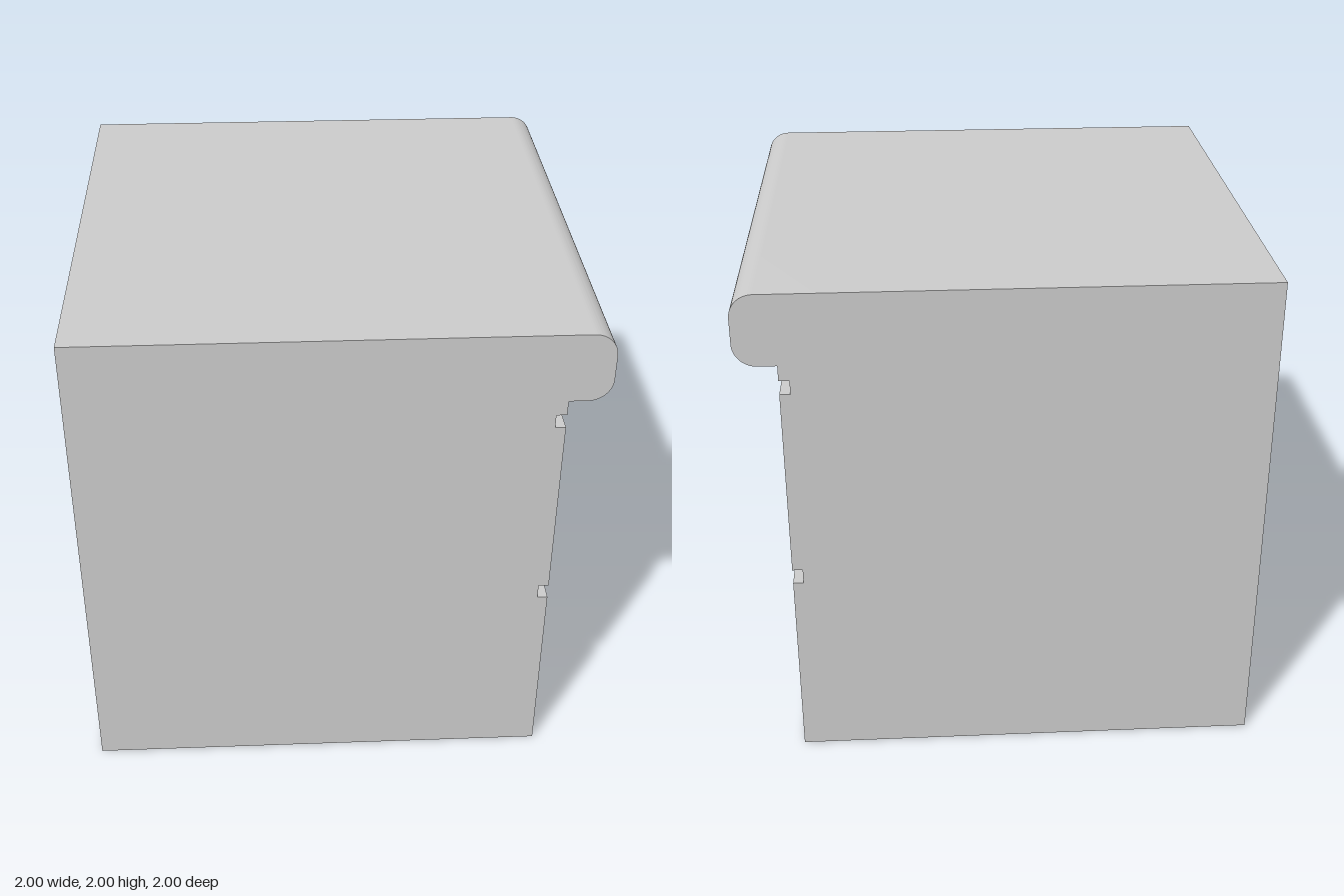
import * as THREE from 'three';
import { toCreasedNormals } from 'three/addons/utils/BufferGeometryUtils.js';

const DEPTH = 2, BACK = -1, FACE = 0.84, GROOVE = 0.8;
const NOSE = 1, NOSE_BOTTOM = 1.72, TOP = 2, RADIUS = 0.09;
const GROOVES = [[0.785, 0.845], [1.605, 1.66]]; // bottom and top of each groove

export function createModel() {
  const group = new THREE.Group();
  group.name = 'grooveFacedBlock';

  // side profile: block, two grooves in the +x face, rounded overhanging nose
  const profile = new THREE.Shape();
  profile.moveTo(BACK, 0);
  profile.lineTo(FACE, 0);
  for (const [low, high] of GROOVES) {
    profile.lineTo(FACE, low);
    profile.lineTo(GROOVE, low);
    profile.lineTo(GROOVE, high);
    profile.lineTo(FACE, high);
  }
  profile.lineTo(FACE, NOSE_BOTTOM);
  profile.lineTo(NOSE - RADIUS, NOSE_BOTTOM);
  profile.absarc(NOSE - RADIUS, NOSE_BOTTOM + RADIUS, RADIUS, -Math.PI / 2, 0, false);
  profile.absarc(NOSE - RADIUS, TOP - RADIUS, RADIUS, 0, Math.PI / 2, false);
  profile.lineTo(BACK, TOP);
  profile.closePath();

  // solid body running the full depth
  const geometry = new THREE.ExtrudeGeometry(profile, { depth: DEPTH, bevelEnabled: false, curveSegments: 16 });
  geometry.translate(0, 0, -DEPTH / 2);
  const body = new THREE.Mesh(
    toCreasedNormals(geometry, Math.PI / 6),
    new THREE.MeshStandardMaterial({ color: 0xcccccc })
  );
  body.name = 'bodyWithRoundedNose';
  group.add(body);
  return group;
}
